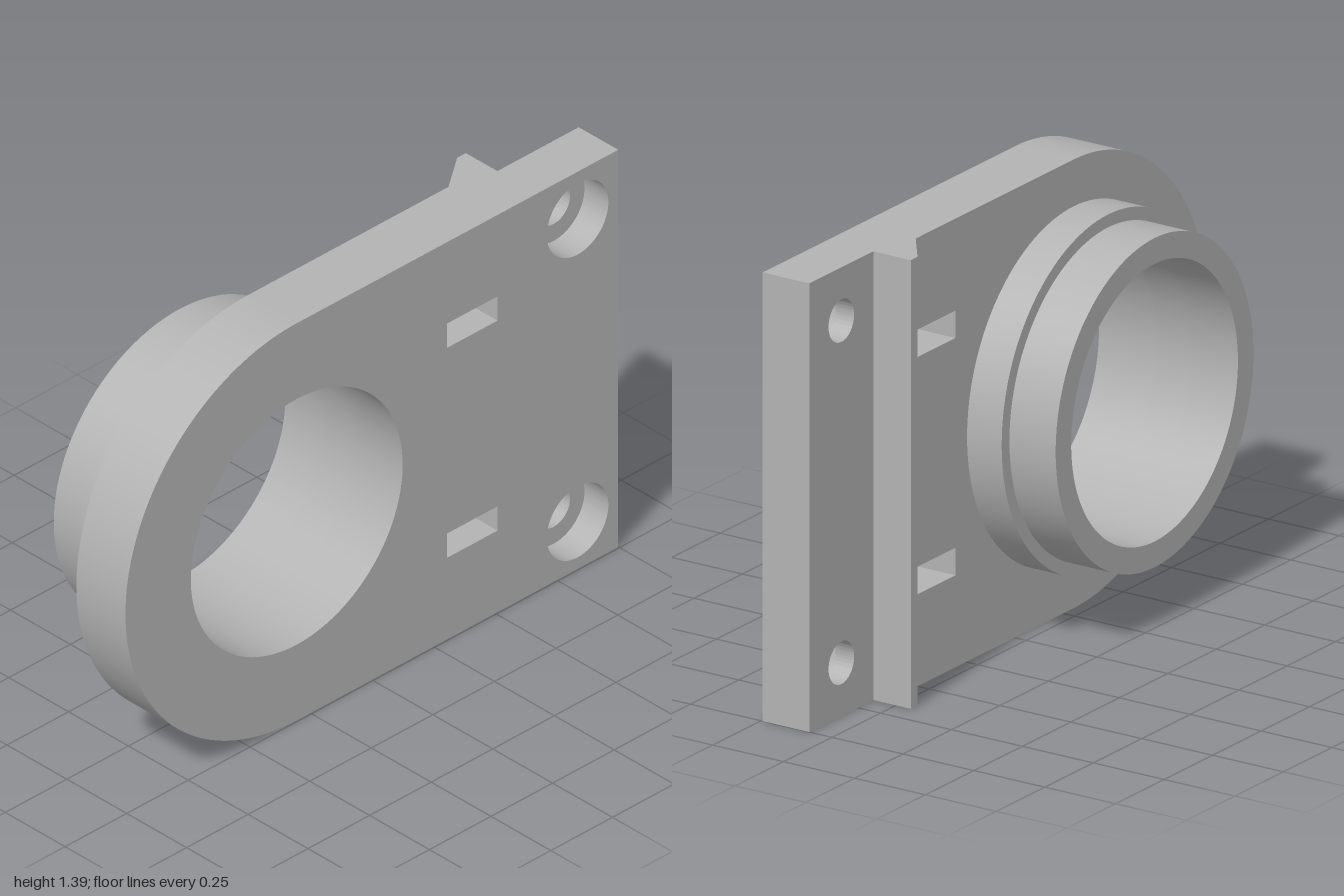
import * as THREE from 'three';
import { toCreasedNormals } from 'three/addons/utils/BufferGeometryUtils.js';

const H = 1.39, R = H / 2, CX = -1 + R, CY = R;   // plate height, rounded end
const FRONT = 0.245, BACK = 0.04, STEP = 0.08;    // depths of the plate faces
const EDGE = 0.67;                                // where the thinner mounting strip begins
const BORE = 0.43;

const circle = (Type, x, y, r) => new Type().absarc(x, y, r, 0, Math.PI * 2, false);

function box(Type, x0, y0, x1, y1) {
  const s = new Type();
  s.moveTo(x0, y0).lineTo(x1, y0).lineTo(x1, y1).lineTo(x0, y1).closePath();
  return s;
}

function extrude(shape, depth) {
  const g = new THREE.ExtrudeGeometry(shape, { depth, bevelEnabled: false, curveSegments: 64 });
  return toCreasedNormals(g, 0.5);
}

export function createModel() {
  const group = new THREE.Group();
  const grey = new THREE.MeshStandardMaterial({ color: 0xb3b3b3 });
  grey.name = 'plain grey';

  const add = (name, geometry) => {
    const mesh = new THREE.Mesh(geometry, grey);
    mesh.name = name;
    group.add(mesh);
  };
  const slab = (name, shape, z0, z1) => add(name, extrude(shape, z1 - z0).translate(0, 0, z0));

  // Main plate with rounded end, large bore and two slots
  const plate = new THREE.Shape();
  plate.moveTo(EDGE, 0);
  plate.lineTo(EDGE, H);
  plate.lineTo(CX, H);
  plate.absarc(CX, CY, R, Math.PI / 2, Math.PI * 1.5, false);
  plate.closePath();
  plate.holes.push(circle(THREE.Path, CX, CY, BORE));
  for (const y of [0.285, 1.02]) plate.holes.push(box(THREE.Path, 0.305, y, 0.51, y + 0.085));
  slab('mainPlate', plate, BACK, FRONT);

  // Mounting strip in two layers: screw holes behind, wider counterbores in front
  for (const [name, r, z0, z1] of [
    ['mountingStripBack', 0.066, STEP, 0.145],
    ['mountingStripFront', 0.125, 0.145, FRONT],
  ]) {
    const strip = box(THREE.Shape, EDGE, 0, 1, H);
    for (const y of [0.165, H - 0.165]) strip.holes.push(circle(THREE.Path, 0.835, y, r));
    slab(name, strip, z0, z1);
  }

  // Stepped collar around the bore on the back
  for (const [name, r, z0, z1] of [
    ['collarShoulder', 0.55, -0.082, BACK],
    ['collarRim', 0.51, -0.245, -0.082],
  ]) {
    const ring = circle(THREE.Shape, CX, CY, r);
    ring.holes.push(circle(THREE.Path, CX, CY, BORE));
    slab(name, ring, z0, z1);
  }

  // Sloped ridge running the full height; profile drawn in x and z
  const profile = new THREE.Shape([
    [0.51, BACK], [0.635, -0.052], [EDGE, -0.052], [EDGE, BACK],
  ].map(([x, z]) => new THREE.Vector2(x, z)));
  add('ridge', extrude(profile, H).rotateX(Math.PI / 2).translate(0, H, 0));

  return group;
}
